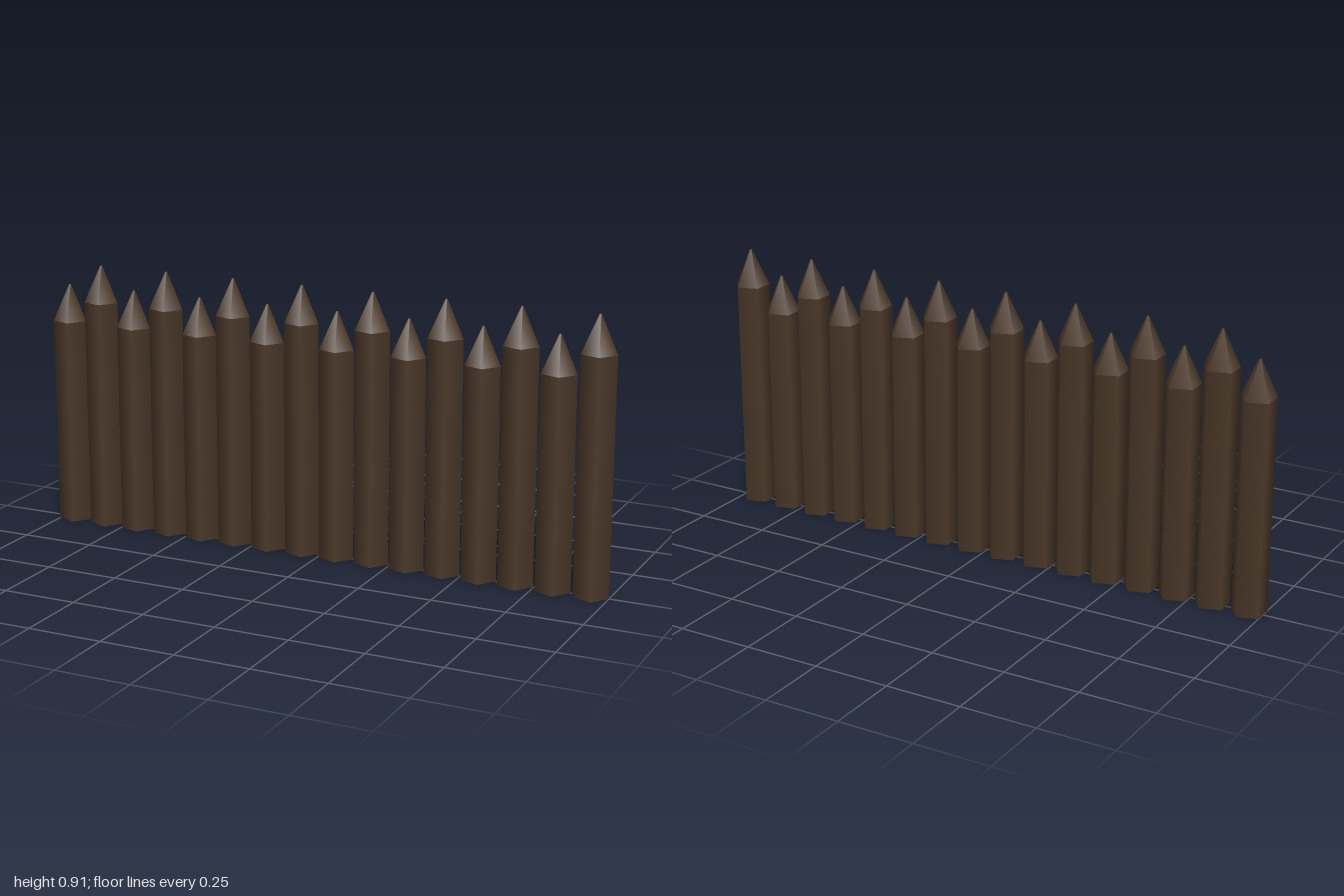
import * as THREE from 'three';

const COUNT = 16;
const RADIUS = 0.06;
const TIP_HEIGHT = 0.125;
const SPACING = (2 - RADIUS * (1 + Math.cos(Math.PI / 5))) / (COUNT - 1);

export function createModel() {
  const group = new THREE.Group();
  group.name = 'palisade';
  const wood = new THREE.MeshStandardMaterial({ color: 0x4a3728 });
  wood.name = 'dark wood';

  // Five-sided log section with one corner pointing to +x
  const section = (top, height, open) =>
    new THREE.CylinderGeometry(top, RADIUS, height, 5, 1, open, Math.PI / 2);

  const tip = section(0.004, TIP_HEIGHT, false);
  const shafts = [0.71, 0.785].map((h) => ({ h, geometry: section(RADIUS, h, false) }));

  // Row of sharpened stakes, alternating short and tall
  for (let i = 0; i < COUNT; i++) {
    const { h, geometry } = shafts[i % 2];
    const stake = new THREE.Group();
    stake.name = 'stake' + (i + 1);
    stake.position.x = 1 - RADIUS - (COUNT - 1 - i) * SPACING;

    const shaft = new THREE.Mesh(geometry, wood);
    shaft.name = 'shaft';
    shaft.position.y = h / 2;

    const point = new THREE.Mesh(tip, wood);
    point.name = 'sharpenedTip';
    point.position.y = h + TIP_HEIGHT / 2;

    stake.add(shaft, point);
    group.add(stake);
  }
  return group;
}
